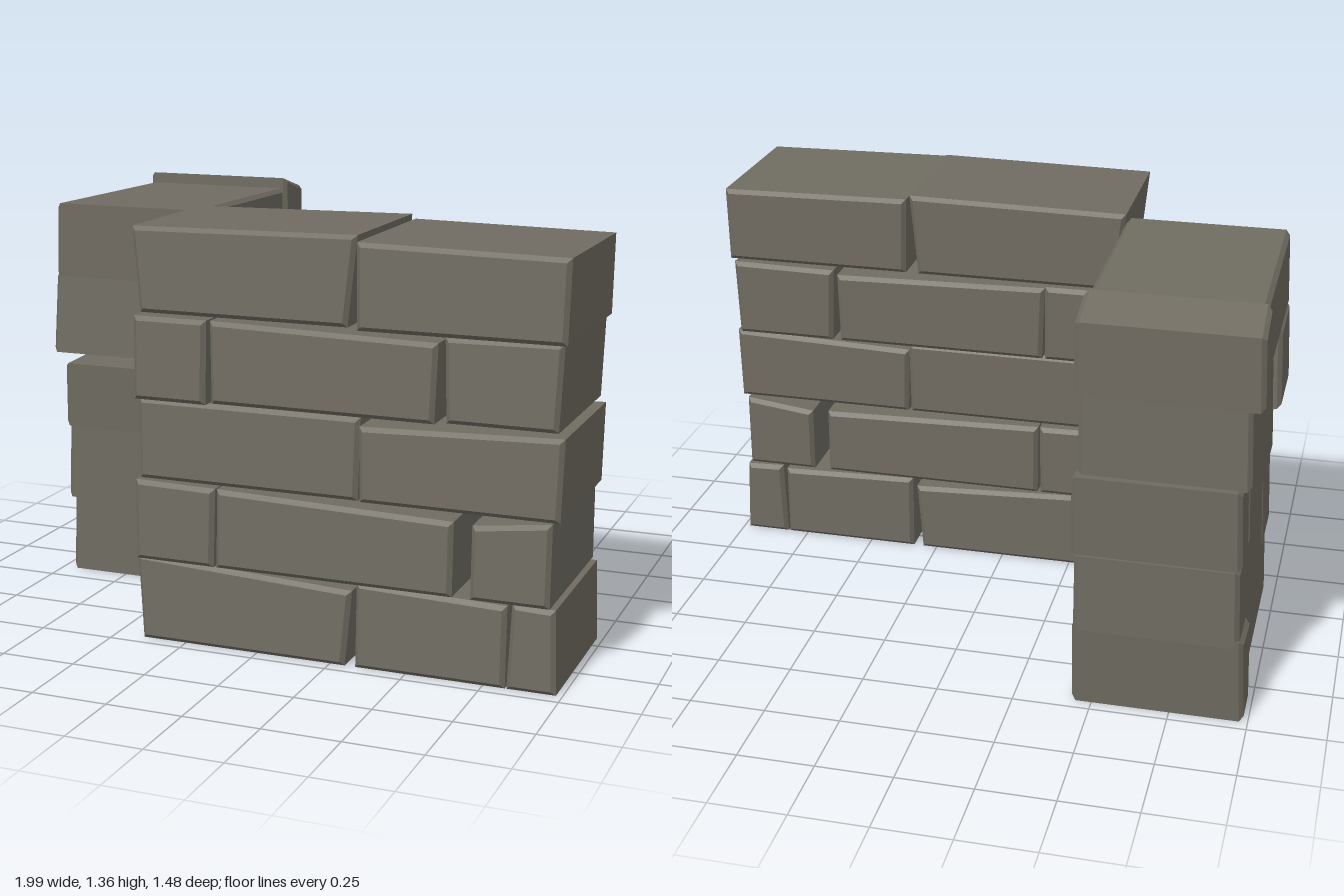
import * as THREE from 'three';

const BEVEL = 0.014;
const TAPER = 0.006;
const stone = new THREE.MeshStandardMaterial({ color: 0x706c62, flatShading: true });
stone.name = 'warm grey stone';

// Bottom and top height of each course, shared by both walls
const levels = [[0, 0.275], [0.275, 0.535], [0.54, 0.8], [0.805, 1.07], [1.075, 1.345]];

// Bevelled block: bottom edge u0..u1, top edge widened by flare,
// top corners moved by riseLeft and riseRight, outer face leaning inward
function block([u0, u1, flare, riseLeft, riseRight], [y0, y1], outer, inner) {
  const shape = new THREE.Shape([
    new THREE.Vector2(u0, y0),
    new THREE.Vector2(u1, y0),
    new THREE.Vector2(u1 + flare, y1 + riseRight),
    new THREE.Vector2(u0 - flare, y1 + riseLeft),
  ]);
  const back = Math.min(outer, inner);
  const geo = new THREE.ExtrudeGeometry(shape, {
    depth: Math.abs(outer - inner) - 2 * BEVEL, bevelSegments: 1,
    bevelSize: BEVEL, bevelThickness: BEVEL, bevelOffset: -BEVEL,
  });
  geo.translate(0, 0, back + BEVEL);
  const p = geo.attributes.position;
  const middle = (outer + inner) / 2;
  for (let i = 0; i < p.count; i++) {
    const w = p.getZ(i);
    const k = (p.getY(i) - y0) / (y1 - y0);
    if ((w - middle) * (outer - middle) > 0) p.setZ(i, w + Math.sign(outer - inner) * TAPER * (1 - 2 * k));
  }
  geo.computeVertexNormals();
  return new THREE.Mesh(geo, stone);
}

// Each course has an outer and inner plane, and a step of the outer plane per block
function wall(name, courses) {
  const group = new THREE.Group();
  group.name = name;
  courses.forEach(({ outer, inner, step, blocks }, row) => blocks.forEach((b, i) => {
    const mesh = block(b, levels[row], outer + step * i, inner);
    mesh.name = `${name}Course${row + 1}Block${i + 1}`;
    group.add(mesh);
  }));
  return group;
}

// Front wall: u runs along x, depth along z
const frontCourses = [
  { outer: 0.71, inner: 0.165, step: 0, blocks: [
    [-0.4, 0.3, 0.02, 0.005, -0.03], [0.335, 0.82, 0, 0, -0.015], [0.825, 0.98, -0.01, -0.005, -0.01]] },
  { outer: 0.725, inner: 0.165, step: 0, blocks: [
    [-0.41, -0.14, 0.004, 0, -0.005], [-0.13, 0.652, 0, -0.005, -0.025], [0.71, 0.957, 0, -0.03, 0]] },
  { outer: 0.705, inner: 0.18, step: 0.01, blocks: [
    [-0.4, 0.34, 0.005, 0, 0], [0.35, 0.98, 0.006, -0.025, -0.005]] },
  { outer: 0.735, inner: 0.142, step: -0.025, blocks: [
    [-0.4, -0.155, 0.002, 0, 0], [-0.145, 0.585, 0.007, -0.005, -0.02], [0.615, 0.96, 0.01, -0.005, 0]] },
  { outer: 0.69, inner: 0.158, step: 0.037, blocks: [
    [-0.395, 0.3, 0.028, 0, 0.01], [0.345, 0.99, 0.005, -0.005, -0.015]] },
];

// Side wall: u runs toward the back, depth along x
const sideCourses = [
  { outer: -0.955, inner: -0.435, step: -0.025, blocks: [
    [-0.16, 0.515, 0, 0, -0.025], [0.56, 0.71, 0.025, 0, 0.025]] },
  { outer: -0.955, inner: -0.438, step: 0, blocks: [
    [-0.18, 0.065, 0, 0.01, 0.005], [0.07, 0.735, 0.002, 0.005, 0.005]] },
  { outer: -0.95, inner: -0.425, step: 0, blocks: [
    [-0.19, 0.53, 0.015, -0.03, 0.01], [0.56, 0.73, 0.01, 0, 0.01]] },
  { outer: -0.988, inner: -0.438, step: 0.025, blocks: [
    [-0.195, 0.085, -0.015, 0.015, 0.01], [0.09, 0.715, -0.005, -0.02, 0]] },
  { outer: -0.972, inner: -0.425, step: -0.018, blocks: [
    [-0.185, 0.55, 0, -0.015, -0.025], [0.575, 0.735, 0, 0.01, -0.035]] },
];

export function createModel() {
  const model = new THREE.Group();
  model.name = 'stoneCornerWall';
  const side = wall('sideWall', sideCourses);
  side.rotation.y = Math.PI / 2;
  model.add(wall('frontWall', frontCourses), side);
  return model;
}
